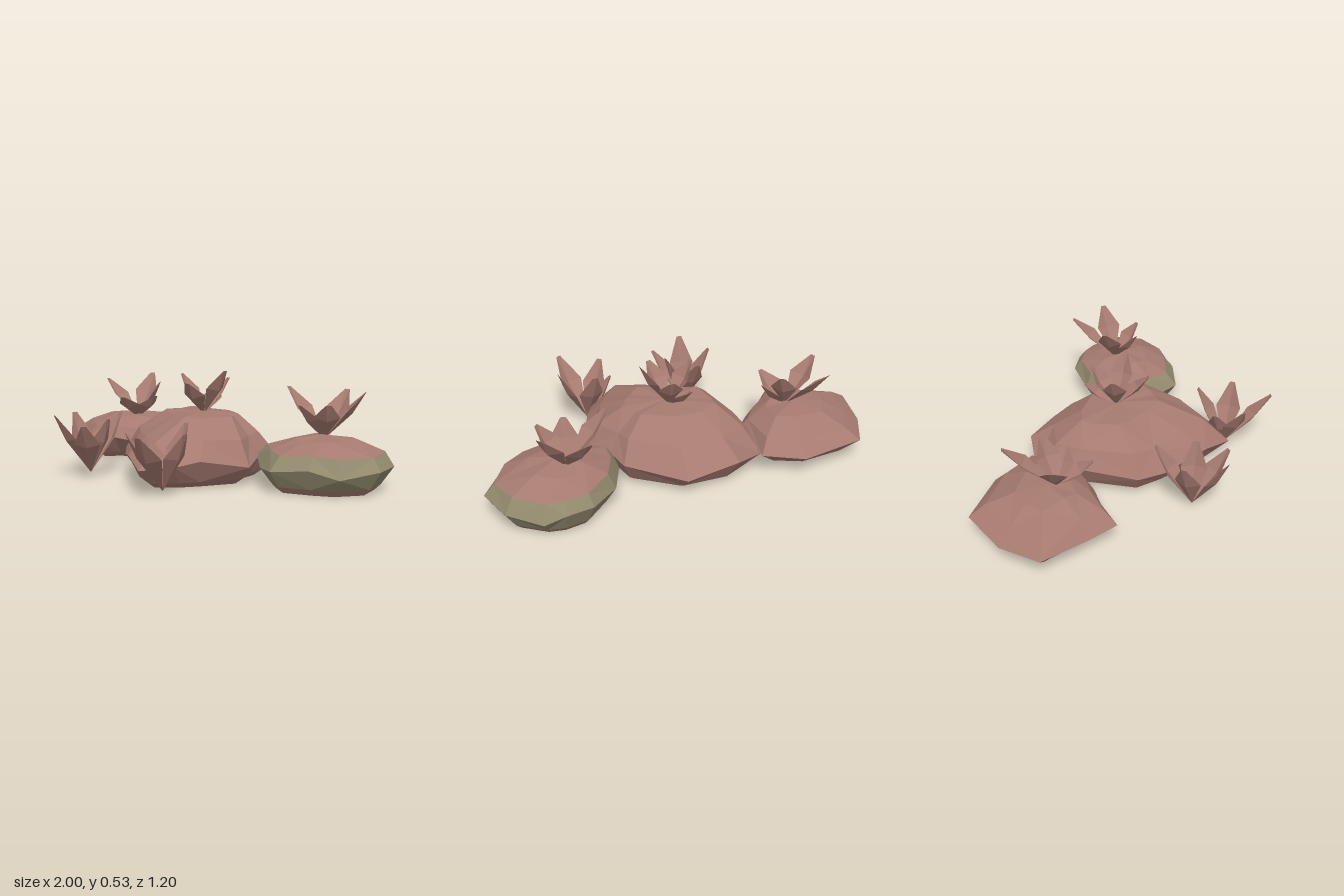
import * as THREE from 'three';

const rosy = new THREE.MeshStandardMaterial({ color: 0xa67a70, flatShading: true, side: THREE.DoubleSide });
rosy.name = 'dusty rose';
const moss = new THREE.MeshStandardMaterial({ color: 0x928a6e, flatShading: true, side: THREE.DoubleSide });
moss.name = 'moss olive';

function facetGeometry(triangles) {
  const g = new THREE.BufferGeometry();
  g.setAttribute('position', new THREE.Float32BufferAttribute(triangles.flat(2), 3));
  g.computeVertexNormals();
  return g;
}

// Faceted boulder: an outline scaled into stacked rings, closed by a fan at each end.
// Each ring is [y, scaleX, scaleZ, shiftX, shiftZ, unevenness].
function boulder(name, [cx, cz], outline, rings, topY, mossBands = []) {
  const n = outline.length;
  const loops = rings.map(([y, sx, sz, dx = 0, dz = 0, rough = 0], k) =>
    outline.map(([x, z], i) => [
      cx + (x - cx) * sx + dx,
      y + rough * Math.sin(i * 2.3 + k),
      cz + (z - cz) * sz + dz,
    ]));
  const rose = [], olive = [];
  const last = loops.length - 1;
  const [, , , tx = 0, tz = 0] = rings[last];
  const top = [cx + tx, topY, cz + tz], bottom = [cx, rings[0][0], cz];
  for (let i = 0; i < n; i++) {
    const j = (i + 1) % n;
    rose.push([bottom, loops[0][i], loops[0][j]]);
    rose.push([top, loops[last][j], loops[last][i]]);
    for (let k = 0; k < last; k++) {
      const a = loops[k][i], b = loops[k][j], c = loops[k + 1][i], d = loops[k + 1][j];
      const target = mossBands.includes(k) ? olive : rose;
      // alternate the diagonal for an irregular chipped look
      if ((i + k) % 2) target.push([a, c, b], [b, c, d]);
      else target.push([a, c, d], [a, d, b]);
    }
  }
  const group = new THREE.Group();
  group.name = name;
  const stone = new THREE.Mesh(facetGeometry(rose), rosy);
  stone.name = 'stone';
  group.add(stone);
  if (olive.length) {
    const band = new THREE.Mesh(facetGeometry(olive), moss);
    band.name = 'mossBand';
    group.add(band);
  }
  return group;
}

// Pointed leaf with a creased middle, from the plant's base to a tip.
function leaf(base, tip, width) {
  const b = new THREE.Vector3(...base), t = new THREE.Vector3(...tip);
  const along = t.clone().sub(b);
  const side = new THREE.Vector3(-along.z, 0, along.x).normalize();
  const inward = new THREE.Vector3().crossVectors(along, side).normalize();
  if (inward.y < 0) inward.negate();
  const at = (f, s, lift) => b.clone().addScaledVector(along, f)
    .addScaledVector(side, s * width).addScaledVector(inward, lift).toArray();
  const root = at(0, 0, 0), fold = at(0.6, 0, -0.02);
  const left = at(0.58, 0.5, 0.012), right = at(0.58, -0.5, 0.012);
  const tipL = at(1, 0.1, 0), tipR = at(1, -0.1, 0);
  const mesh = new THREE.Mesh(facetGeometry([
    [root, left, fold], [root, fold, right],
    [left, tipL, fold], [fold, tipL, tipR], [fold, tipR, right],
  ]), rosy);
  mesh.name = 'leaf';
  return mesh;
}

function plant(name, base, tips, width) {
  const group = new THREE.Group();
  group.name = name;
  tips.forEach((tip) => group.add(leaf(base, tip, width)));
  return group;
}

export function createModel() {
  const model = new THREE.Group();
  model.name = 'rockCluster';

  // Boulders
  model.add(boulder('middleBoulder', [0.03, -0.07], [
    [-0.16, -0.53], [0.1, -0.52], [0.34, -0.32], [0.36, -0.2], [0.44, -0.03], [0.34, 0.2], [0.28, 0.31],
    [0.17, 0.43], [0, 0.35], [-0.2, 0.2], [-0.31, 0.1], [-0.35, -0.25], [-0.33, -0.43],
  ], [
    [0, 0.75, 0.74], [0.03, 0.86, 0.84], [0.12, 1, 1, 0, 0, 0.025],
    [0.22, 0.84, 0.74, 0, 0, 0.008], [0.31, 0.56, 0.36, 0, -0.04, 0.006],
  ], 0.32));

  model.add(boulder('leftBoulder', [0.66, -0.29], [
    [0.71, -0.6], [0.81, -0.58], [0.95, -0.47], [1, -0.29], [0.9, -0.12], [0.78, -0.05], [0.61, 0.02],
    [0.48, -0.06], [0.35, -0.18], [0.35, -0.28], [0.43, -0.45], [0.58, -0.58],
  ], [
    [0, 0.74, 0.74], [0.03, 0.83, 0.83], [0.11, 1, 1, 0, 0, 0.02],
    [0.18, 0.86, 0.84, 0, -0.01, 0.006], [0.23, 0.45, 0.45, 0, -0.02, 0.008],
  ], 0.25, [1, 2]));

  model.add(boulder('rightBoulder', [-0.65, -0.24], [
    [-0.82, -0.55], [-0.5, -0.57], [-0.31, -0.48], [-0.33, -0.2], [-0.42, -0.09], [-0.54, -0.01],
    [-0.65, 0.11], [-0.78, 0.02], [-1, -0.12], [-0.95, -0.34],
  ], [
    [0, 0.58, 0.62], [0.025, 0.7, 0.72], [0.11, 1, 1, 0, 0, 0.012],
    [0.17, 0.8, 0.8, 0.02, 0, 0.01], [0.225, 0.48, 0.42, 0.03, 0, 0.008],
  ], 0.24));

  // Spiky plants on top of the boulders
  model.add(plant('middlePlant', [0.03, 0.3, -0.13], [
    [-0.02, 0.42, -0.28], [0.07, 0.48, -0.27], [0.18, 0.53, -0.13], [0.07, 0.47, 0.03], [-0.1, 0.5, -0.1],
  ], 0.12));
  model.add(plant('leftPlant', [0.63, 0.22, -0.35], [
    [0.59, 0.44, -0.58], [0.78, 0.45, -0.47], [0.73, 0.4, -0.25], [0.59, 0.39, -0.21], [0.42, 0.46, -0.33],
  ], 0.13));
  model.add(plant('rightPlant', [-0.58, 0.21, -0.21], [
    [-0.69, 0.44, -0.42], [-0.5, 0.41, -0.31], [-0.44, 0.34, -0.22], [-0.52, 0.34, -0.05], [-0.77, 0.42, -0.15],
  ], 0.13));

  // Spiky plants growing from the ground in front
  model.add(plant('frontRightPlant', [-0.28, 0.02, 0.36], [
    [-0.27, 0.31, 0.17], [-0.42, 0.31, 0.35], [-0.33, 0.32, 0.54], [-0.15, 0.28, 0.5], [-0.16, 0.3, 0.34],
  ], 0.13));
  model.add(plant('frontLeftPlant', [0.28, 0.02, 0.38], [
    [0.28, 0.32, 0.23], [0.43, 0.3, 0.38], [0.36, 0.3, 0.6], [0.16, 0.29, 0.5], [0.15, 0.25, 0.36],
  ], 0.13));

  return model;
}
